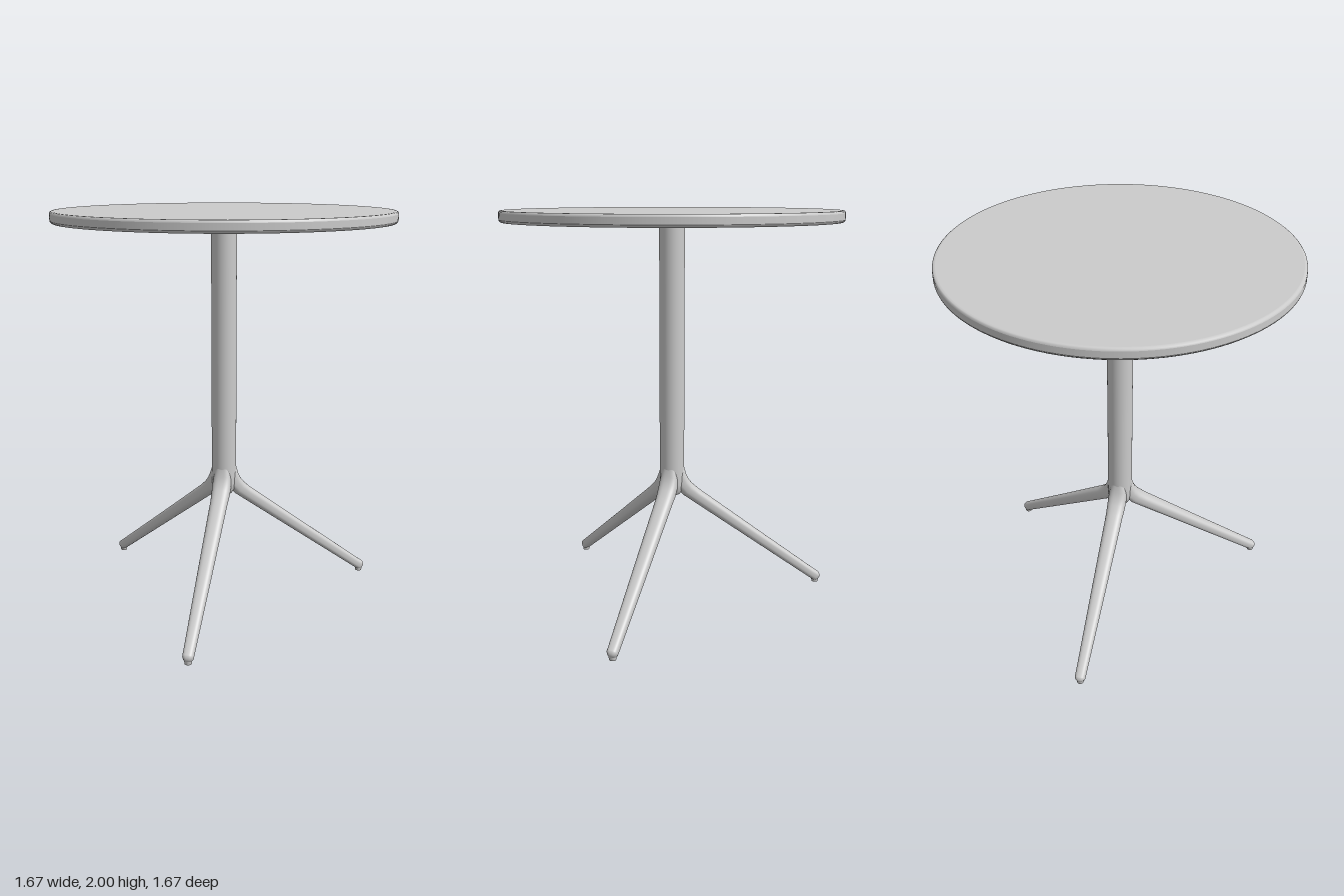
import * as THREE from 'three';

const mat = new THREE.MeshStandardMaterial({ color: 0xcccccc, side: THREE.DoubleSide });

function add(parent, name, geometry, x = 0, y = 0, z = 0) {
  const mesh = new THREE.Mesh(geometry, mat);
  mesh.name = name;
  mesh.position.set(x, y, z);
  parent.add(mesh);
  return mesh;
}

// Lathe whose profile is split into runs so that edges between runs stay sharp
function addLathe(parent, name, runs, segments = 96) {
  const group = new THREE.Group();
  group.name = name;
  runs.forEach(run => add(group, name + 'Surface',
    new THREE.LatheGeometry(run.map(p => new THREE.Vector2(p[0], p[1])), segments)));
  parent.add(group);
}

// Loft of rounded sections in the xy plane; rows are [x, y, halfThickness, halfWidth, tilt]
function loft(rows, sides = 32) {
  const pos = [], idx = [];
  const soft = v => Math.sign(v) * Math.pow(Math.abs(v), 0.75);
  rows.forEach(([x, y, h, w, tilt]) => {
    for (let j = 0; j < sides; j++) {
      const a = j / sides * Math.PI * 2;
      const n = h * soft(Math.sin(a));
      pos.push(x - Math.sin(tilt) * n, y + Math.cos(tilt) * n, w * soft(Math.cos(a)));
    }
  });
  for (let i = 0; i < rows.length - 1; i++) {
    for (let j = 0; j < sides; j++) {
      const a = i * sides + j, b = i * sides + (j + 1) % sides;
      idx.push(a, b, a + sides, b, b + sides, a + sides);
    }
  }
  const g = new THREE.BufferGeometry();
  g.setAttribute('position', new THREE.Float32BufferAttribute(pos, 3));
  g.setIndex(idx);
  g.computeVertexNormals();
  return g;
}

// Leg: leaves the column steeply, bends outwards, tapers to a rounded tip
function legGeometry() {
  const slope = -0.64;
  const rows = [
    [0.030, 0.74, 0.026, 0.022, -1.5],
    [0.034, 0.69, 0.029, 0.036, -1.4],
    [0.041, 0.645, 0.034, 0.045, -1.2],
    [0.056, 0.605, 0.038, 0.048, -0.95],
    [0.082, 0.572, 0.038, 0.047, -0.76],
    [0.125, 0.537, 0.035, 0.044, slope],
    [0.45, 0.293, 0.030, 0.036, slope],
    [0.775, 0.050, 0.026, 0.027, slope],
  ];
  for (let i = 1; i <= 8; i++) {
    const a = i / 8 * Math.PI / 2, d = Math.sin(a) * 0.028, c = Math.cos(a);
    rows.push([0.795 + d * Math.cos(slope), 0.036 + d * Math.sin(slope), 0.026 * c, 0.027 * c, slope]);
  }
  return loft(rows);
}

export function createModel() {
  const table = new THREE.Group();
  table.name = 'pedestalTable';

  // Table top: shallow disc with a rim that hangs below it
  addLathe(table, 'tableTop', [
    [[0.815, 1.972], [0, 1.972]].reverse(),
    [[0.815, 1.972], [0.815, 1.95]].reverse(),
    [[0.815, 1.95], [0.819, 1.945], [0.826, 1.945], [0.833, 1.951], [0.835, 1.957]],
    [[0.835, 1.957], [0.835, 1.988]],
    [[0.835, 1.988], [0.833, 1.995], [0.828, 1.999], [0.82, 2]],
    [[0.82, 2], [0, 2]],
  ], 128);

  // Parallel ribs under the top
  const ribs = new THREE.Group();
  ribs.name = 'undersideRibs';
  for (let i = 0; i < 6; i++) {
    const off = -0.6 + i * 0.24;
    add(ribs, 'rib', new THREE.BoxGeometry(2 * Math.sqrt(0.812 ** 2 - off ** 2), 0.012, 0.016), 0, 1.967, off);
  }
  ribs.rotation.y = -Math.PI / 3;
  table.add(ribs);

  // Mounting plate with a release lever
  const plate = new THREE.Shape();
  const corners = 3;
  for (let i = 0; i < corners; i++) {
    const a = i * Math.PI * 2 / corners;
    for (const s of [-0.22, 0.22]) {
      const x = 0.105 * Math.cos(a + s), y = 0.105 * Math.sin(a + s);
      i === 0 && s < 0 ? plate.moveTo(x, y) : plate.lineTo(x, y);
    }
    const m = a + Math.PI / 3;
    plate.lineTo(0.062 * Math.cos(m), 0.062 * Math.sin(m));
  }
  plate.closePath();
  const plateGeo = new THREE.ExtrudeGeometry(plate, { depth: 0.034, bevelEnabled: false });
  add(table, 'mountingPlate', plateGeo.rotateX(-Math.PI / 2), 0, 1.939, 0);
  add(table, 'leverArm', new THREE.BoxGeometry(0.09, 0.012, 0.03), -0.09, 1.936, 0);
  add(table, 'leverGrip', new THREE.CapsuleGeometry(0.009, 0.025, 6, 12).rotateX(Math.PI / 2), -0.128, 1.928, 0);

  // Column with a domed lower end
  addLathe(table, 'column', [
    [[0, 0.54], [0.02, 0.542], [0.042, 0.553], [0.056, 0.575], [0.063, 0.61], [0.063, 0.66]],
    [[0.063, 0.66], [0.063, 1.972]],
  ], 64);

  // Three legs, each with a foot pad
  const geo = legGeometry();
  for (let i = 0; i < 3; i++) {
    const leg = new THREE.Group();
    leg.name = 'leg';
    add(leg, 'legBody', geo);
    add(leg, 'footPad', new THREE.CylinderGeometry(0.02, 0.017, 0.024, 24), 0.797, 0.012, 0);
    leg.rotation.y = i * Math.PI * 2 / 3;
    table.add(leg);
  }
  return table;
}
